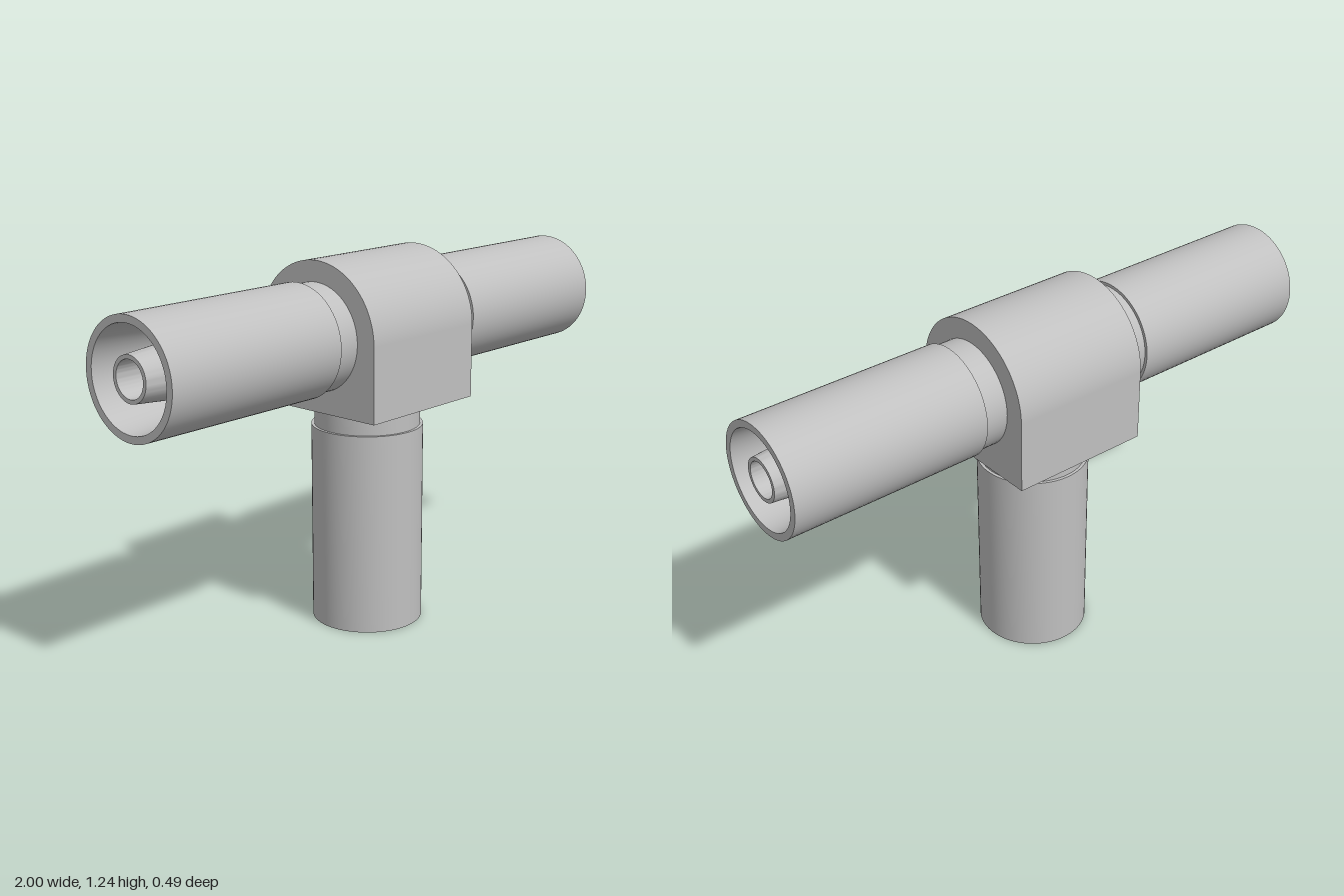
import * as THREE from 'three';
import { mergeGeometries, toCreasedNormals } from 'three/addons/utils/BufferGeometryUtils.js';

const R = 0.243;      // half size of the central block
const BORE = 0.058;   // radius of the through channel
const NECK = 0.175;
const SLEEVE = 0.185;

// One connector arm along +y: neck, sleeve, tapered socket, nozzle and bore
function armGeometry(saddle) {
  const profile = [
    [NECK, R], [NECK, 0.325], [SLEEVE, 0.325], [SLEEVE, 1],
    [0.161, 1], [0.141, 0.77],            // socket wall
    [0.091, 0.77], [0.071, 0.995],        // nozzle
    [BORE, 0.995], [BORE, 0],             // channel
  ].map(([r, y]) => new THREE.Vector2(r, y));
  const geo = new THREE.LatheGeometry(profile, 64);
  if (saddle) {
    // Trim the channel where it meets the horizontal one
    const p = geo.attributes.position;
    for (let i = 0; i < p.count; i++) {
      if (p.getY(i) < 0.01) p.setY(i, Math.sqrt(Math.max(0, BORE ** 2 - p.getZ(i) ** 2)));
    }
  }
  return toCreasedNormals(geo, 0.5);
}

function withHole(shape, radius) {
  shape.holes.push(new THREE.Path().absarc(0, 0, radius, 0, Math.PI * 2, true));
  return new THREE.ShapeGeometry(shape, 48);
}

// Block with a half-round top, open where the arms enter
function blockGeometry() {
  const end = () => {
    const s = new THREE.Shape();
    s.moveTo(-R, -R);
    s.lineTo(R, -R);
    s.lineTo(R, 0);
    s.absarc(0, 0, R, 0, Math.PI, false);
    s.closePath();
    return withHole(s, NECK - 0.01).rotateY(Math.PI / 2).translate(R, 0, 0);
  };
  const base = new THREE.Shape([[-R, -R], [R, -R], [R, R], [-R, R]].map(([x, y]) => new THREE.Vector2(x, y)));
  const side = () => new THREE.PlaneGeometry(2 * R, R).translate(0, -R / 2, R);
  return mergeGeometries([
    end(),
    end().rotateY(Math.PI),
    new THREE.CylinderGeometry(R, R, 2 * R, 48, 1, true, 0, Math.PI).rotateZ(Math.PI / 2),
    side(),
    side().rotateY(Math.PI),
    withHole(base, NECK - 0.01).rotateX(Math.PI / 2).translate(0, -R, 0),
  ]);
}

export function createModel() {
  const group = new THREE.Group();
  group.name = 'teeFitting';
  const grey = new THREE.MeshStandardMaterial({ color: 0xc0c0c0 });
  grey.name = 'light grey';

  const add = (name, geo, turn = 0) => {
    const mesh = new THREE.Mesh(geo, grey);
    mesh.name = name;
    mesh.position.y = 1;
    mesh.rotation.z = turn;
    group.add(mesh);
  };

  add('centreBlock', blockGeometry());
  add('leftArm', armGeometry(false), -Math.PI / 2);
  add('rightArm', armGeometry(false), Math.PI / 2);
  add('lowerArm', armGeometry(true), Math.PI);
  return group;
}
